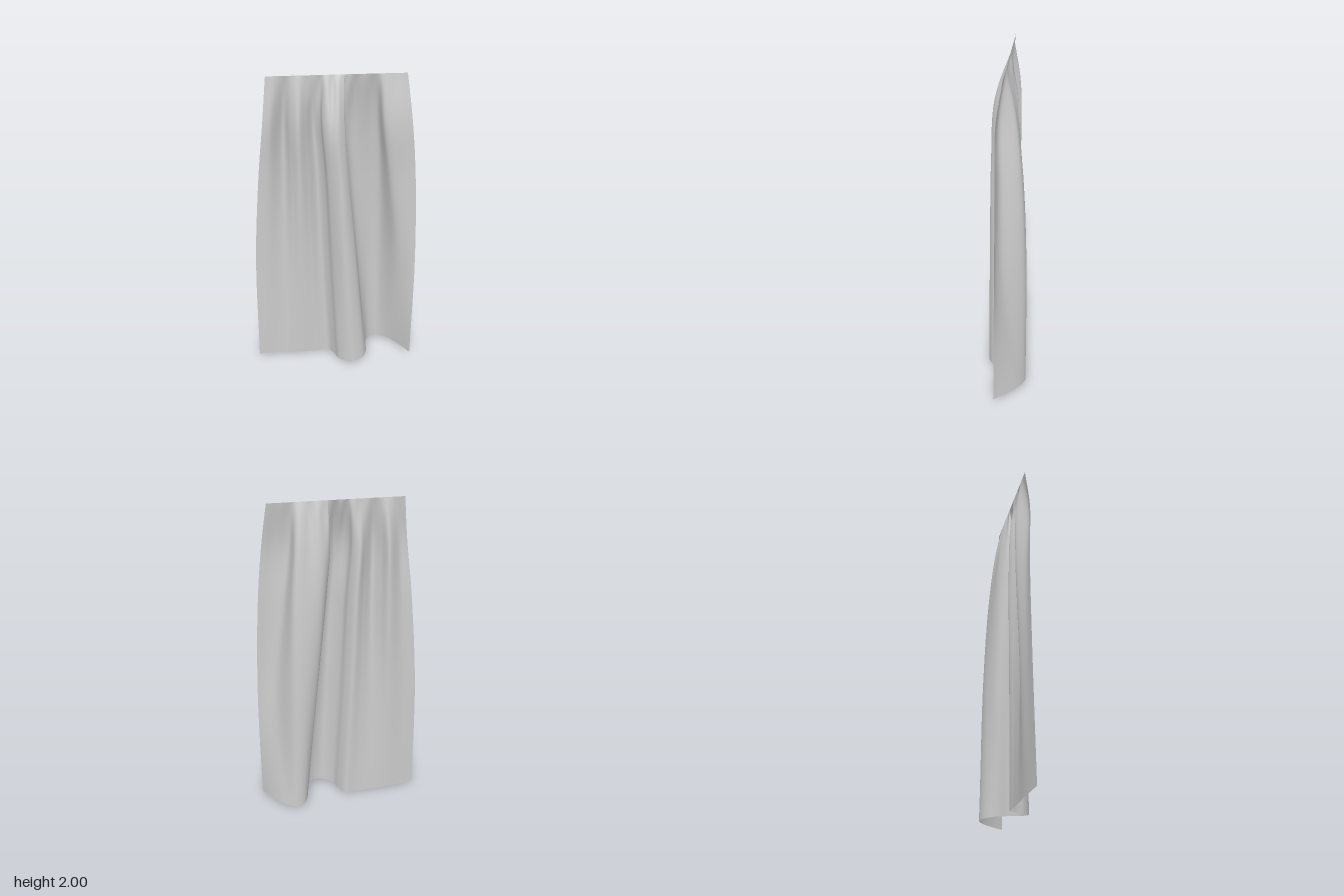
import * as THREE from 'three';

// Cross-sections as x, z pairs running from the right edge (-x) to the left edge (+x)
const SECTIONS = [
  { y: 1.74, p: [-.392, .022, -.35, .022, -.28, -.038, -.242, .012, -.2, .042, -.157, .008, -.117, -.037, -.08, 0, -.065, .053,
    0, .084, .05, .055, .046, 0, .08, -.045, .165, -.05, .238, -.052, .268, .028, .34, .042, .42, .035] },
  { y: 1.4, p: [-.43, .008, -.37, .005, -.288, -.042, -.243, .002, -.2, .033, -.15, 0, -.1, -.04, -.06, 0, -.04, .058,
    .03, .104, .075, .06, .07, 0, .1, -.065, .185, -.09, .262, -.085, .312, .022, .38, .04, .455, .037] },
  { y: .8, p: [-.477, .003, -.4, -.003, -.305, -.025, -.25, -.006, -.2, .008, -.14, -.008, -.08, -.032, -.04, .003, -.01, .062,
    .063, .114, .125, .07, .13, 0, .145, -.065, .205, -.112, .28, -.113, .375, .005, .43, .034, .485, .044] },
  { y: 0, p: [-.495, .015, -.42, .003, -.33, -.007, -.25, -.01, -.19, -.011, -.12, -.015, -.042, -.02, -.002, .028, .025, .08,
    .102, .122, .18, .09, .205, .03, .205, -.035, .228, -.1, .28, -.125, .36, -.09, .43, -.022, .49, .055] },
];
// Height of the slightly uneven hem at each column
const HEM = [.022, .013, .008, .004, .002, .001, .002, .006, .012, .021, .031, .033, .028, .02, .018, .018, .018, .018];
const COLS = HEM.length, NU = 180, NV = 72;

// One vertical guide line down the cloth, starting on the flat gathered top edge
function guideLine(i) {
  const x0 = SECTIONS[0].p[0], x1 = SECTIONS[0].p[2 * COLS - 2];
  const topX = THREE.MathUtils.mapLinear(SECTIONS[0].p[2 * i], x0, x1, -.365, .385);
  const evenX = -.365 + .75 * i / (COLS - 1);
  const points = [new THREE.Vector3(topX * .8 + evenX * .2, 2, 0)];
  for (const { y, p } of SECTIONS) {
    points.push(new THREE.Vector3(p[2 * i], y || HEM[i], p[2 * i + 1]));
  }
  return new THREE.CatmullRomCurve3(points);
}

function clothGeometry() {
  const guides = HEM.map((_, i) => guideLine(i));
  const positions = [], indices = [];
  for (let v = 0; v <= NV; v++) {
    const row = new THREE.CatmullRomCurve3(guides.map(g => g.getPoint(v / NV)));
    for (let u = 0; u <= NU; u++) {
      const q = row.getPoint(u / NU);
      // Fine gathers just below the top edge
      const d = (2 - q.y) / .1;
      const gather = d * Math.exp(1 - d) * Math.sin(Math.PI * u / NU);
      q.z += .006 * gather * Math.sin(80 * q.x + 2 * Math.sin(13 * q.x));
      positions.push(q.x, q.y, q.z);
      if (u < NU && v < NV) {
        const a = v * (NU + 1) + u, b = a + NU + 1;
        indices.push(a, b, a + 1, b, b + 1, a + 1);
      }
    }
  }
  const geometry = new THREE.BufferGeometry();
  geometry.setAttribute('position', new THREE.Float32BufferAttribute(positions, 3));
  geometry.setIndex(indices);
  geometry.computeVertexNormals();
  return geometry;
}

export function createModel() {
  const group = new THREE.Group();
  group.name = 'curtain';
  const cloth = new THREE.Mesh(clothGeometry(),
    new THREE.MeshStandardMaterial({ color: 0xcccccc, side: THREE.DoubleSide }));
  cloth.name = 'curtainCloth';
  group.add(cloth);
  return group;
}
